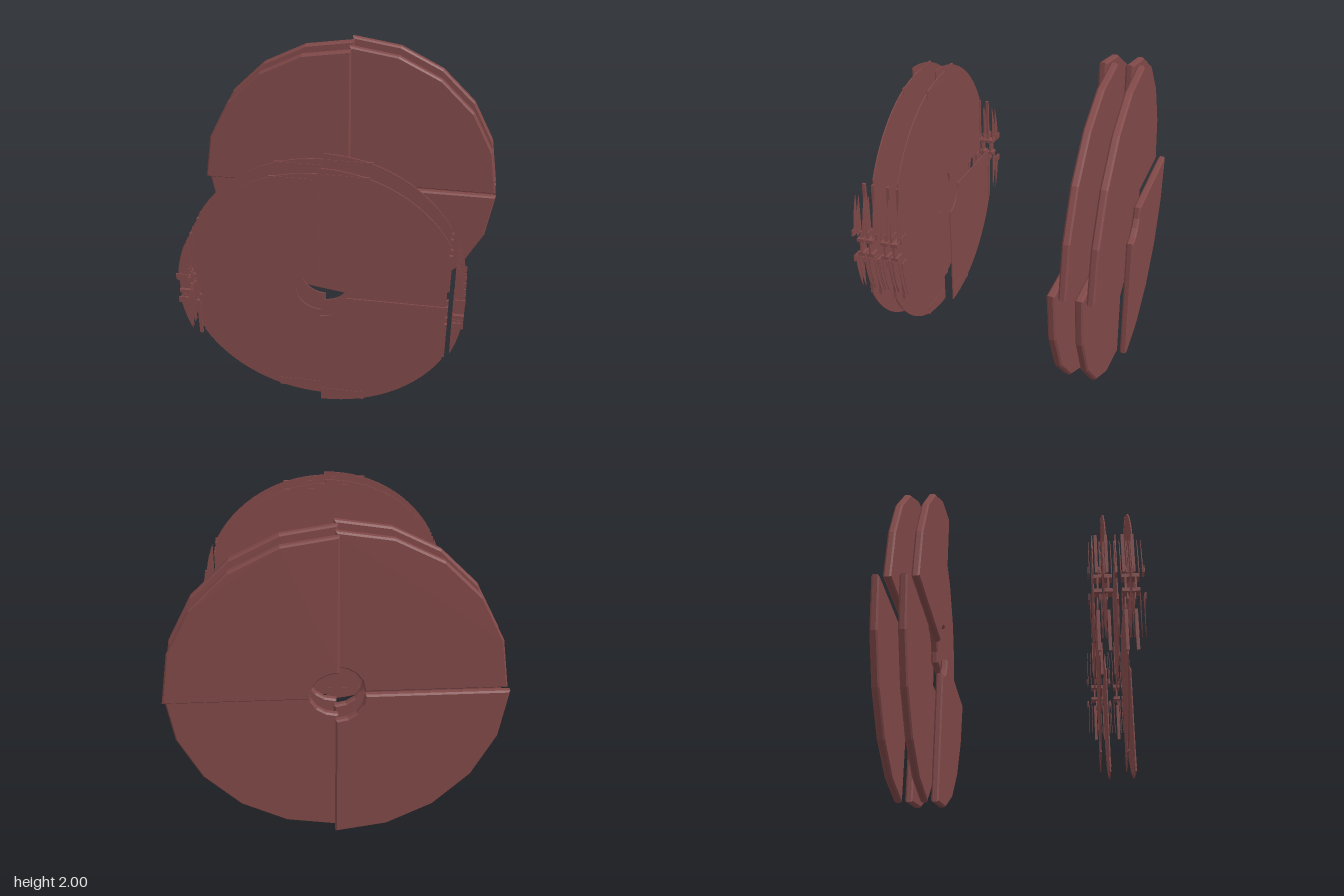
import * as THREE from 'three';

const material = new THREE.MeshStandardMaterial({ color: 0x804848, flatShading: true });
const CENTRE_Y = 1;

// points along an arc, angles in degrees
function arc(radius, from, to, steps) {
  return Array.from({ length: steps + 1 }, (_, i) => {
    const a = THREE.MathUtils.degToRad(from + ((to - from) * i) / steps);
    return [radius * Math.cos(a), radius * Math.sin(a)];
  });
}

// extrude an outline drawn in the +x +y quadrant, mirrored to quadrant (sx, sy), centred on z
function plate(name, points, [sx, sy], z, depth, bevel = 0) {
  const shape = new THREE.Shape(points.map(([x, y]) => new THREE.Vector2(x * sx, y * sy)));
  const geometry = new THREE.ExtrudeGeometry(shape, {
    depth, bevelEnabled: bevel > 0, bevelSize: bevel, bevelThickness: bevel, bevelSegments: 1,
  });
  geometry.translate(0, 0, -depth / 2);
  const mesh = new THREE.Mesh(geometry, material);
  mesh.name = name;
  mesh.position.set(0, CENTRE_Y, z);
  return mesh;
}

function block(name, [w, h, d], [x, y, z]) {
  const mesh = new THREE.Mesh(new THREE.BoxGeometry(w, h, d), material);
  mesh.name = name;
  mesh.position.set(x, CENTRE_Y + y, z);
  return mesh;
}

// opposite quadrants that share a layer; layers alternate between the two pairs
const PAIRS = [
  [[-1, 1], [1, -1]],
  [[1, 1], [-1, -1]],
];

export function createModel() {
  const model = new THREE.Group();
  model.name = 'staggeredDiscs';

  // thick rear discs: bevelled quadrants of a twenty-sided plate
  const rear = new THREE.Group();
  rear.name = 'rearDiscs';
  const thickOutline = [...arc(0.988, 0, 90, 5), ...arc(0.17, 90, 0, 4)];
  [-0.51, -0.575, -0.667, -0.732].forEach((z, i) => {
    for (const q of PAIRS[i % 2]) rear.add(plate('rearQuadrant', thickOutline, q, z, 0.026, 0.01));
  });
  model.add(rear);

  // thin front discs, cut straight at the sides
  const R = 0.83, CUT = 0.73;
  const cutAngle = THREE.MathUtils.radToDeg(Math.acos(CUT / R));
  const thinOutline = [[CUT, 0], ...arc(R, cutAngle, 90, 14), ...arc(0.15, 90, 0, 12)];
  // loose rim segment outside the side slot
  const sliver = [[0.77, 0.065], ...arc(R, 4.5, 21.9, 5)];

  const front = new THREE.Group();
  front.name = 'frontDiscs';
  [0.7, 0.643, 0.547, 0.487].forEach((z, i) => {
    for (const q of PAIRS[i % 2]) {
      const [sx, sy] = q;
      front.add(plate('frontQuadrant', thinOutline, q, z, 0.007));
      // raised lip along the top or bottom rim
      front.add(block('rimLip', [0.26, 0.06, 0.011], [sx * 0.14, sy * 0.765, z]));
    }
    for (const sx of [-1, 1]) {
      for (const sy of [-1, 1]) {
        // thickened edge beside the slot
        front.add(block('slotEdge', [0.018, 0.25, 0.018], [sx * 0.734, sy * 0.245, z]));
        // rim segments fanned out on both sides of the layer
        for (const dz of [-0.043, -0.022, 0.022, 0.043]) {
          front.add(plate('rimSegment', sliver, [sx, sy], z + dz, 0.003));
        }
        // small blocks at the end of the horizontal seam
        front.add(block('seamBlock', [0.064, 0.022, 0.045], [sx * 0.803, sy * 0.045, z]));
        for (const dz of [-0.05, 0.05]) {
          front.add(block('seamTab', [0.064, 0.04, 0.006], [sx * 0.803, sy * 0.085, z + dz]));
        }
      }
      front.add(block('seamCore', [0.064, 0.07, 0.01], [sx * 0.803, 0, z]));
    }
  });
  model.add(front);

  return model;
}
